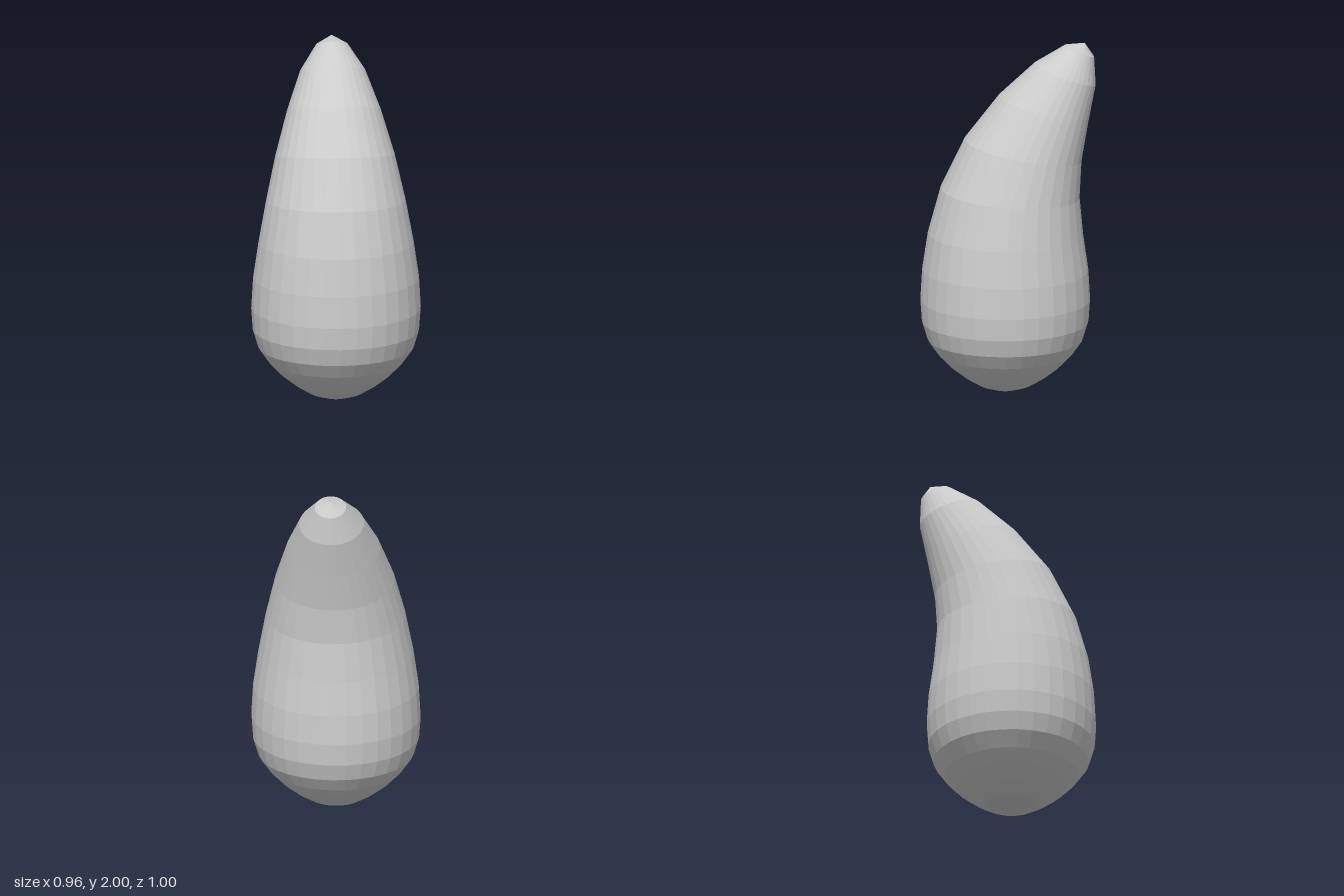
import * as THREE from 'three';

// Rings from bottom to tip: radius, centre height, centre z, tilt in radians (front edge raised)
const RINGS = [
  [0, 0, 0.02, 0],
  [0.075, 0.01, 0.02, 0],
  [0.15, 0.035, 0.02, 0],
  [0.23, 0.083, 0.02, 0],
  [0.31, 0.145, 0.02, 0],
  [0.38, 0.217, 0.02, 0],
  [0.44, 0.302, 0.02, 0],
  [0.471, 0.403, 0.02, 0],
  [0.48, 0.53, 0.02, 0],
  [0.47, 0.705, 0.02, 0.012],
  [0.44, 0.91, 0.018, 0.03],
  [0.395, 1.15, -0.007, 0.076],
  [0.338, 1.395, -0.082, 0.194],
  [0.265, 1.628, -0.202, 0.31],
  [0.184, 1.825, -0.327, 0.363],
  [0.089, 1.955, -0.411, 0.405],
  [0, 2, -0.44, 0.405],
];

export function createModel() {
  const group = new THREE.Group();
  group.name = 'curvedHorn';

  // Turned body whose rings are shifted and tilted so the tip bends backwards
  const profile = RINGS.map(([r], i) => new THREE.Vector2(r, i));
  const geometry = new THREE.LatheGeometry(profile, 32);
  const pos = geometry.attributes.position;
  for (let i = 0; i < pos.count; i++) {
    const [, y, z, tilt] = RINGS[Math.round(pos.getY(i))];
    const depth = pos.getZ(i);
    pos.setY(i, y + depth * Math.sin(tilt));
    pos.setZ(i, z + depth * Math.cos(tilt));
  }
  geometry.computeVertexNormals();

  const material = new THREE.MeshStandardMaterial({ color: 0xcccccc, flatShading: true });
  const body = new THREE.Mesh(geometry, material);
  body.name = 'hornBody';
  group.add(body);
  return group;
}
